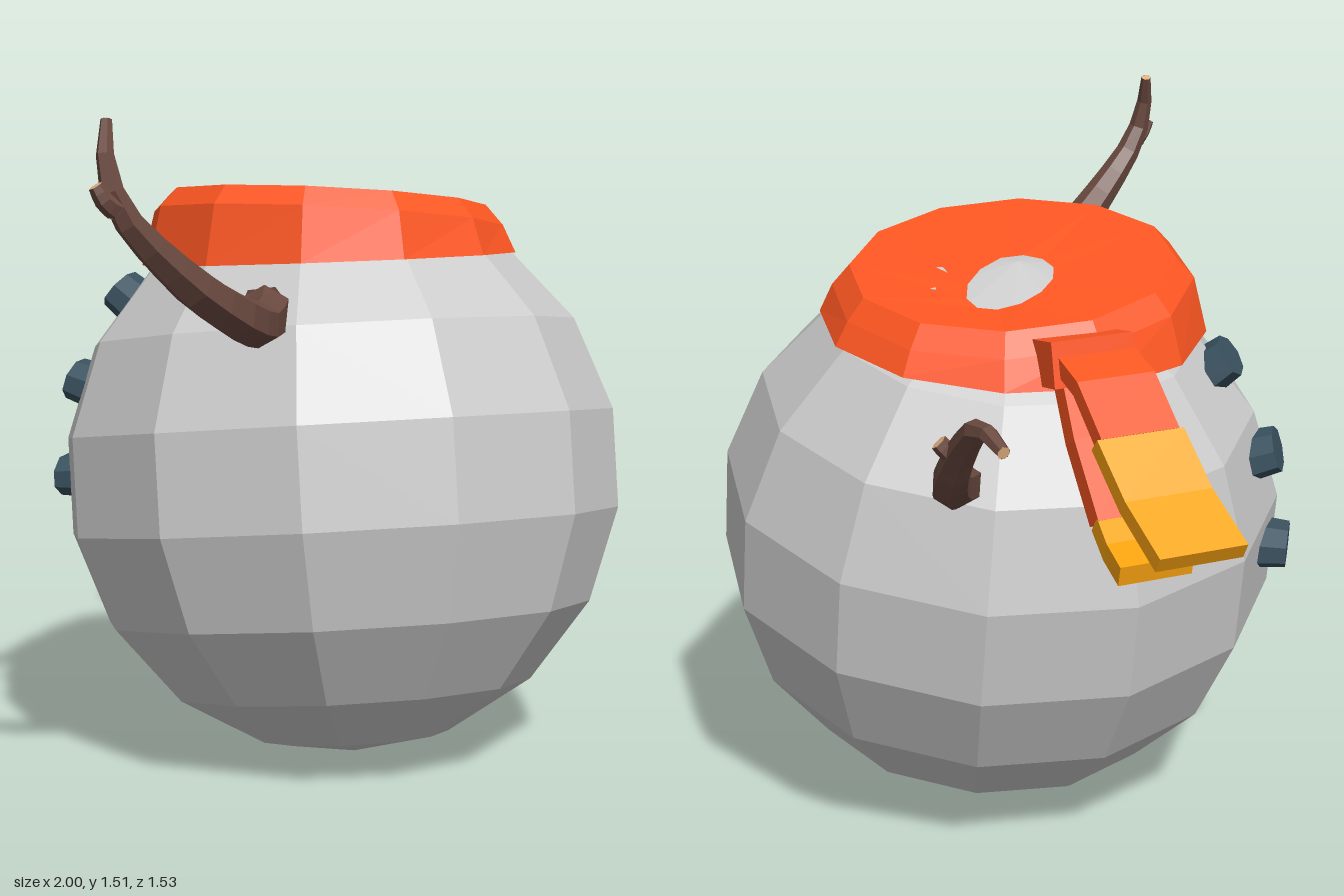
import * as THREE from 'three';

const V = (x, y, z) => new THREE.Vector3(x, y, z);
const mat = (color) => new THREE.MeshStandardMaterial({ color, flatShading: true, side: THREE.DoubleSide });

const BODY = V(0.065, 0.645, 0.115);
const R = 0.655;

function mesh(name, geometry, material) {
  const m = new THREE.Mesh(geometry, material);
  m.name = name;
  return m;
}

// Tapering six-sided twig through the given points, with a cut end
function twig(name, pts, radii, bark, cut) {
  const g = new THREE.Group();
  g.name = name;
  const curve = new THREE.CatmullRomCurve3(pts.map((p) => V(...p)));
  const segs = (pts.length - 1) * 2;
  const geo = new THREE.TubeGeometry(curve, segs, 1, 6);
  const pos = geo.attributes.position;
  const v = V();
  const radiusAt = (t) => {
    const f = t * (radii.length - 1);
    const i = Math.min(Math.floor(f), radii.length - 2);
    return THREE.MathUtils.lerp(radii[i], radii[i + 1], f - i);
  };
  for (let i = 0; i < pos.count; i++) {
    const t = Math.floor(i / 7) / segs;
    const c = curve.getPointAt(t);
    v.fromBufferAttribute(pos, i).sub(c).multiplyScalar(radiusAt(t)).add(c);
    pos.setXYZ(i, v.x, v.y, v.z);
  }
  g.add(mesh('bark', geo, bark));
  [[0, bark], [1, cut]].forEach(([t, m]) => {
    const cap = mesh('cutEnd', new THREE.CircleGeometry(radiusAt(t), 6), m);
    cap.position.copy(curve.getPointAt(t));
    cap.quaternion.setFromUnitVectors(V(0, 0, 1), curve.getTangentAt(t).multiplyScalar(t ? 1 : -1));
    g.add(cap);
  });
  return g;
}

// Flat cloth strip following a few points
function strip(name, pts, width, thick, material) {
  const n = pts.length - 1;
  const p = pts.map((q) => V(...q));
  const side = V(0.83, 0, 0.56).normalize();
  const geo = new THREE.BoxGeometry(width, thick, n, 1, 1, n);
  const pos = geo.attributes.position;
  for (let i = 0; i < pos.count; i++) {
    const k = Math.round(pos.getZ(i) + n / 2);
    const along = p[Math.min(k + 1, n)].clone().sub(p[Math.max(k - 1, 0)]);
    const up = along.cross(side).normalize();
    const v = p[k].clone().addScaledVector(side, pos.getX(i)).addScaledVector(up, pos.getY(i));
    pos.setXYZ(i, v.x, v.y, v.z);
  }
  return mesh(name, geo, material);
}

// Wide neck wrap: rows run from the small top opening over the rim to the hem
function neckWrap(material) {
  const geo = new THREE.CylinderGeometry(1, 1, 1, 12, 4, true);
  const pos = geo.attributes.position;
  const radii = [0, 0.37, 0.41, 0.44, 0.4];
  for (let i = 0; i < pos.count; i++) {
    const row = Math.floor(i / 13);
    const sx = pos.getX(i), sz = pos.getZ(i);
    let x = 0.095 + sx * radii[row], z = 0.055 + sz * radii[row], y;
    const dx = x - 0.095, dz = z - 0.055;
    if (row === 0) {
      x = 0.19 + sx * 0.135;
      z = sz * 0.08;
      const d = Math.hypot(x - 0.122, z - 0.024);
      y = 1.294 - 0.18 * d - 0.087 * (x - 0.122) + 0.139 * (z - 0.024);
    } else if (row < 3) {
      y = 1.28 - 0.14 * dx + 0.05 * dz - (row === 2 ? 0.045 : 0);
    } else {
      y = 1.14 - 0.035 * dx + 0.075 * dz;
    }
    pos.setXYZ(i, x, y, z);
  }
  return mesh('neckWrap', geo, material);
}

export function createModel() {
  const model = new THREE.Group();
  model.name = 'snowBody';
  const snow = mat(0xcccccc), orange = mat(0xff5722), yellow = mat(0xffa510);
  const bark = mat(0x6b4a40), cut = mat(0xe0b080), coal = mat(0x3a5260);

  // Leaning faceted ball
  const body = mesh('body', new THREE.SphereGeometry(R, 12, 9), snow);
  body.position.copy(BODY);
  body.quaternion.setFromUnitVectors(V(0, 1, 0), V(0.087, 0.986, -0.139).normalize());
  model.add(body);

  // Scarf with knot and two hanging tails
  const scarf = new THREE.Group();
  scarf.name = 'scarf';
  const knot = mesh('knot', new THREE.BoxGeometry(0.19, 0.1, 0.1), orange);
  knot.position.set(0.34, 1.17, -0.28);
  knot.rotation.set(0.2, -0.59, 0, 'YXZ');
  scarf.add(
    neckWrap(orange),
    knot,
    strip('upperTail', [[0.33, 1.19, -0.28], [0.40, 1.15, -0.39], [0.455, 1.06, -0.48]], 0.18, 0.04, orange),
    strip('upperTailEnd', [[0.455, 1.06, -0.48], [0.51, 0.96, -0.58], [0.575, 0.88, -0.70]], 0.2, 0.04, yellow),
    strip('lowerTail', [[0.33, 1.17, -0.29], [0.38, 1.02, -0.36], [0.43, 0.87, -0.45]], 0.17, 0.05, orange),
    strip('lowerTailEnd', [[0.43, 0.87, -0.45], [0.47, 0.83, -0.5], [0.53, 0.81, -0.57]], 0.17, 0.045, yellow),
  );
  model.add(scarf);

  // Branch arms, each with a short side twig
  model.add(
    twig('rightArm', [[-0.38, 1.07, 0.25], [-0.5, 1.06, 0.33], [-0.65, 1.1, 0.38], [-0.8, 1.19, 0.37],
      [-0.94, 1.33, 0.335], [-0.955, 1.42, 0.315], [-0.93, 1.5, 0.295]],
    [0.06, 0.05, 0.05, 0.045, 0.035, 0.025, 0.012], bark, cut),
    twig('rightArmTwig', [[-0.95, 1.33, 0.335], [-0.975, 1.345, 0.33], [-0.99, 1.375, 0.32]],
      [0.025, 0.02, 0.015], bark, cut),
    twig('leftArm', [[0.58, 0.93, -0.12], [0.7, 0.97, -0.18], [0.82, 1.05, -0.26], [0.87, 1.13, -0.32],
      [0.94, 1.21, -0.41], [0.985, 1.19, -0.49]],
    [0.05, 0.045, 0.04, 0.033, 0.025, 0.014], bark, cut),
    twig('leftArmTwig', [[0.85, 1.1, -0.3], [0.87, 1.12, -0.285], [0.88, 1.14, -0.27]],
      [0.025, 0.02, 0.018], bark, cut),
  );

  // Three lumpy buttons down one side
  [38, 17, -3].forEach((deg, i) => {
    const e = THREE.MathUtils.degToRad(deg);
    const dir = V(-0.4 * Math.cos(e), Math.sin(e), -0.917 * Math.cos(e));
    const geo = new THREE.CylinderGeometry(0.085, 0.095, 0.07, 8);
    geo.rotateY(Math.PI / 8).scale(1, 1, 0.58).rotateX(Math.PI / 2);
    const button = mesh('button' + (i + 1), geo, coal);
    button.position.copy(BODY).addScaledVector(dir, 0.645);
    button.lookAt(BODY.clone().addScaledVector(dir, 2));
    model.add(button);
  });

  return model;
}
